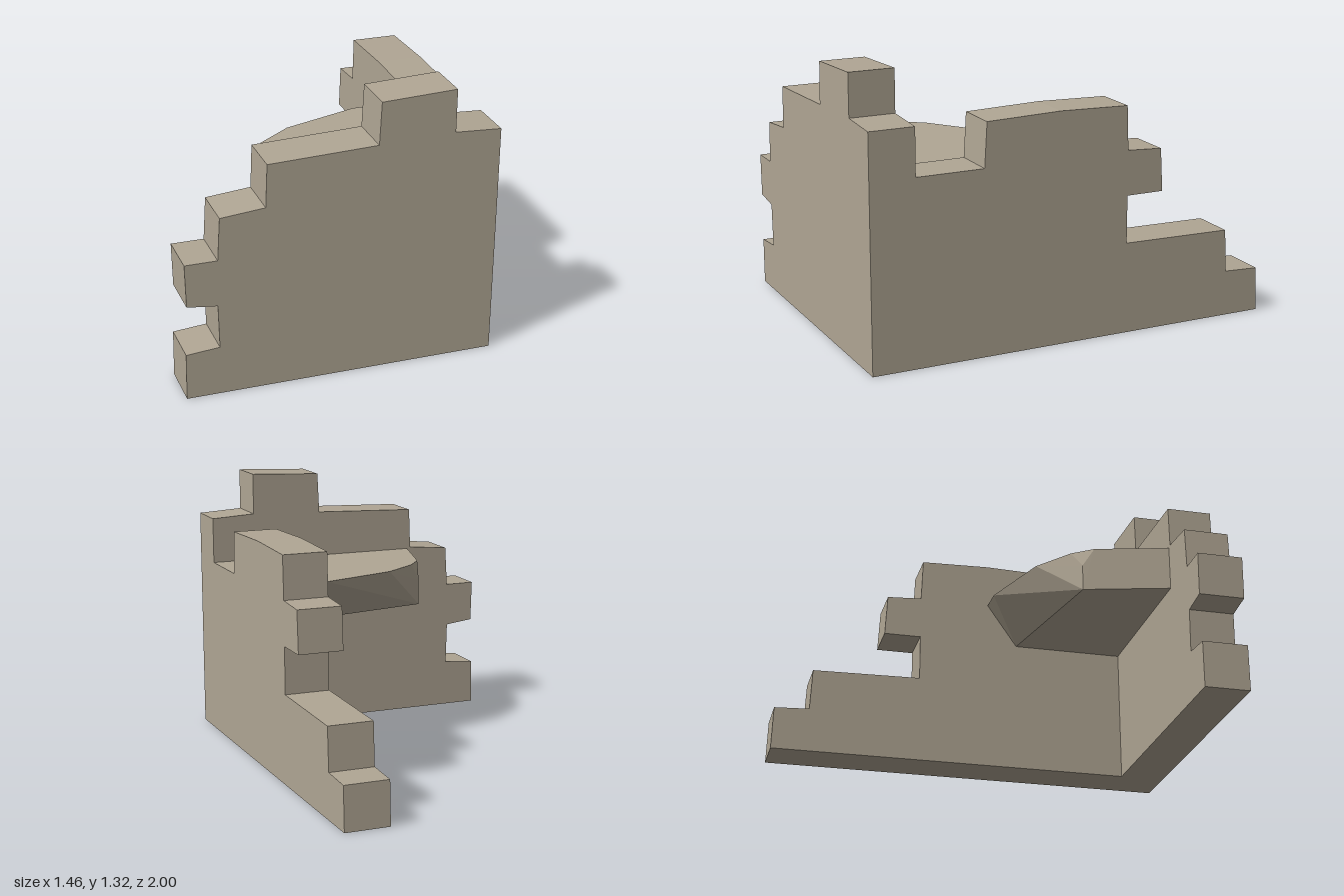
import * as THREE from 'three';
import { ConvexGeometry } from 'three/addons/geometries/ConvexGeometry.js';

const stone = new THREE.MeshStandardMaterial({ color: 0xb0a694 });
stone.name = 'stone';

// Extrudes a stepped wall outline along +z
function wallGeometry(outline, depth) {
  const shape = new THREE.Shape(outline.map(([x, y]) => new THREE.Vector2(x, y)));
  return new THREE.ExtrudeGeometry(shape, { depth, bevelEnabled: false });
}

export function createModel() {
  const group = new THREE.Group();
  group.name = 'ruinedWallCorner';
  const add = (name, geometry) => {
    const mesh = new THREE.Mesh(geometry, stone);
    mesh.name = name;
    group.add(mesh);
  };

  // Front wall with broken masonry steps (x, y)
  const front = wallGeometry([
    [-0.73, 0], [0.727, 0], [0.727, 1.105], [0.51, 1.117], [0.51, 1.32], [0.16, 1.305],
    [0.152, 1.105], [-0.357, 1.087], [-0.363, 0.885], [-0.57, 0.866], [-0.58, 0.665],
    [-0.73, 0.665], [-0.723, 0.46], [-0.582, 0.443], [-0.575, 0.235], [-0.73, 0.222],
  ], 0.217);
  front.translate(0, 0, 0.783);
  add('frontWall', front);

  // Side wall, outline given as (z, y)
  const side = wallGeometry([
    [0.783, 0], [0.783, 0.88], [0.455, 0.88], [0.443, 1.09], [0.08, 1.1], [-0.262, 1.09],
    [-0.27, 0.88], [-0.443, 0.87], [-0.455, 0.665], [-0.27, 0.665], [-0.27, 0.437],
    [-0.81, 0.427], [-0.82, 0.22], [-0.993, 0.212], [-1, 0],
  ].map(([z, y]) => [-z, y]).reverse(), 0.217);
  side.rotateY(Math.PI / 2).translate(0.51, 0, 0);
  add('sideWall', side);

  // Broken upper floor: wide top, undercut bottom and one chipped corner
  const ring = (y, points) => points.map(([x, z]) => new THREE.Vector3(x, y, z));
  add('brokenFloor', new ConvexGeometry([
    ...ring(0.878, [[0.51, 0.783], [0.51, 0.083], [0.38, 0.083], [0, 0.207],
      [-0.176, 0.337], [-0.25, 0.435], [-0.295, 0.61], [-0.345, 0.783]]),
    ...ring(0.79, [[-0.233, 0.378]]),
    ...ring(0.662, [[0.51, 0.783], [0.51, 0.234], [-0.233, 0.378], [-0.295, 0.61], [-0.345, 0.783]]),
  ]));

  return group;
}
